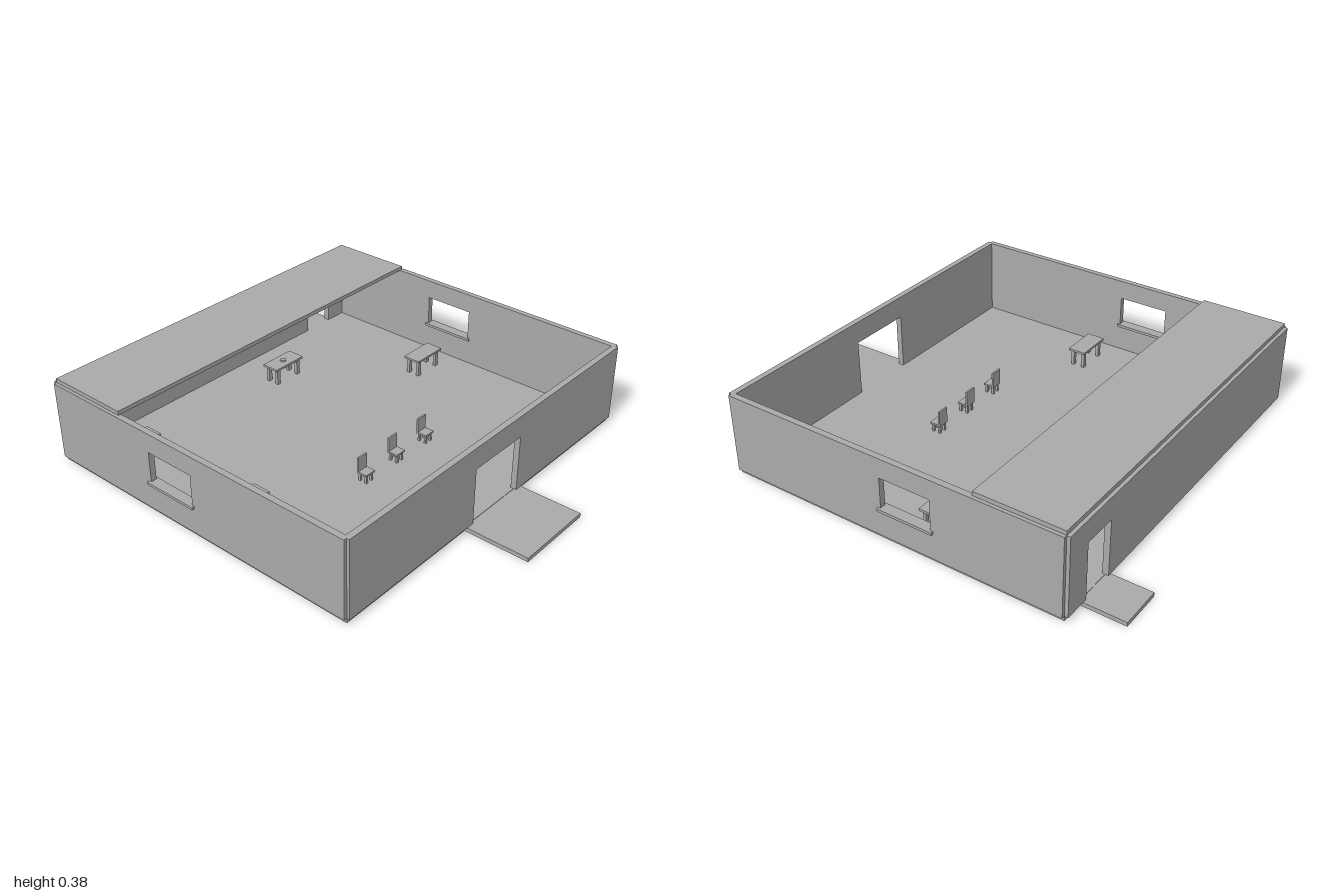
import * as THREE from 'three';

export function createModel() {
  const model = new THREE.Group();
  model.name = 'building';
  const plaster = new THREE.MeshStandardMaterial({ color: 0xaaaaaa });
  plaster.name = 'plainGrey';

  // Box given by its limits on each axis
  function box(parent, name, [x0, x1], [y0, y1], [z0, z1]) {
    const mesh = new THREE.Mesh(new THREE.BoxGeometry(x1 - x0, y1 - y0, z1 - z0), plaster);
    mesh.position.set((x0 + x1) / 2, (y0 + y1) / 2, (z0 + z1) / 2);
    mesh.name = name;
    parent.add(mesh);
    return mesh;
  }

  const FLOOR = 0.02, TOP = 0.365, HALF = 0.857, BACK = -0.811, FRONT = 0.715, THICK = 0.026;
  const DOOR_TOP = 0.268;

  // Floor slab and door steps
  box(model, 'floor', [-HALF, HALF], [0, FLOOR], [BACK, FRONT]);
  box(model, 'frontStep', [-0.18, 0.18], [0, 0.018], [FRONT, 1]);
  box(model, 'backStep', [0.575, 0.76], [0, 0.018], [-1, BACK]);

  // Front and back walls, each notched for a door
  function doorWall(name, d0, d1, z) {
    const s = new THREE.Shape([
      [-HALF, FLOOR], [d0, FLOOR], [d0, DOOR_TOP], [d1, DOOR_TOP],
      [d1, FLOOR], [HALF, FLOOR], [HALF, TOP], [-HALF, TOP],
    ].map(([x, y]) => new THREE.Vector2(x, y)));
    const wall = new THREE.Mesh(new THREE.ExtrudeGeometry(s, { depth: THICK, bevelEnabled: false }), plaster);
    wall.position.z = z;
    wall.name = name;
    model.add(wall);
  }
  doorWall('frontWall', -0.144, 0.144, 0.701);
  doorWall('backWall', 0.592, 0.742, -0.826);

  // Side walls with a window opening and a projecting sill
  const rect = (C, u0, u1, v0, v1) => new C([
    new THREE.Vector2(u0, v0), new THREE.Vector2(u1, v0),
    new THREE.Vector2(u1, v1), new THREE.Vector2(u0, v1),
  ]);
  for (const [side, label] of [[1, 'left'], [-1, 'right']]) {
    const s = rect(THREE.Shape, -FRONT, -BACK, FLOOR, TOP);
    s.holes.push(rect(THREE.Path, 0.028, 0.256, 0.142, 0.28));
    const geo = new THREE.ExtrudeGeometry(s, { depth: THICK, bevelEnabled: false });
    geo.rotateY(Math.PI / 2);
    const wall = new THREE.Mesh(geo, plaster);
    wall.position.x = side > 0 ? 0.845 : -0.845 - THICK;
    wall.name = label + 'Wall';
    model.add(wall);
    const xs = [side * 0.836, side * 0.883].sort((a, b) => a - b);
    box(model, label + 'Sill', xs, [0.135, 0.147], [-0.268, -0.018]);
  }

  // Partial roof over the back
  box(model, 'roof', [-HALF, HALF], [TOP, 0.383], [BACK, -0.433]);

  // Tables
  function table(x, z) {
    const g = new THREE.Group();
    g.name = 'table';
    box(g, 'tableTop', [-0.085, 0.085], [0.094, 0.104], [-0.041, 0.041]);
    for (const sx of [-1, 1]) for (const sz of [-1, 1]) {
      const cx = sx * 0.063, cz = sz * 0.026;
      box(g, 'tableLeg', [cx - 0.009, cx + 0.009], [FLOOR, 0.094], [cz - 0.007, cz + 0.007]);
    }
    g.position.set(x, 0, z);
    model.add(g);
    return g;
  }
  table(0.666, -0.147);
  table(-0.666, 0.043);
  table(-0.666, -0.58);
  const serving = table(0.189, -0.58);
  const dish = new THREE.Mesh(new THREE.CylinderGeometry(0.014, 0.014, 0.006, 16), plaster);
  dish.position.y = 0.107;
  dish.name = 'dish';
  serving.add(dish);

  // Row of chairs facing the front door
  for (const x of [-0.191, 0, 0.191]) {
    const g = new THREE.Group();
    g.name = 'chair';
    box(g, 'seat', [-0.026, 0.026], [0.056, 0.064], [-0.025, 0.025]);
    box(g, 'backrest', [-0.026, 0.026], [0.064, 0.128], [-0.025, -0.017]);
    for (const sx of [-1, 1]) for (const sz of [-1, 1]) {
      const cx = sx * 0.015, cz = sz * 0.016;
      box(g, 'chairLeg', [cx - 0.005, cx + 0.005], [FLOOR, 0.056], [cz - 0.005, cz + 0.005]);
    }
    g.position.set(x, 0, 0.235);
    model.add(g);
  }

  return model;
}
